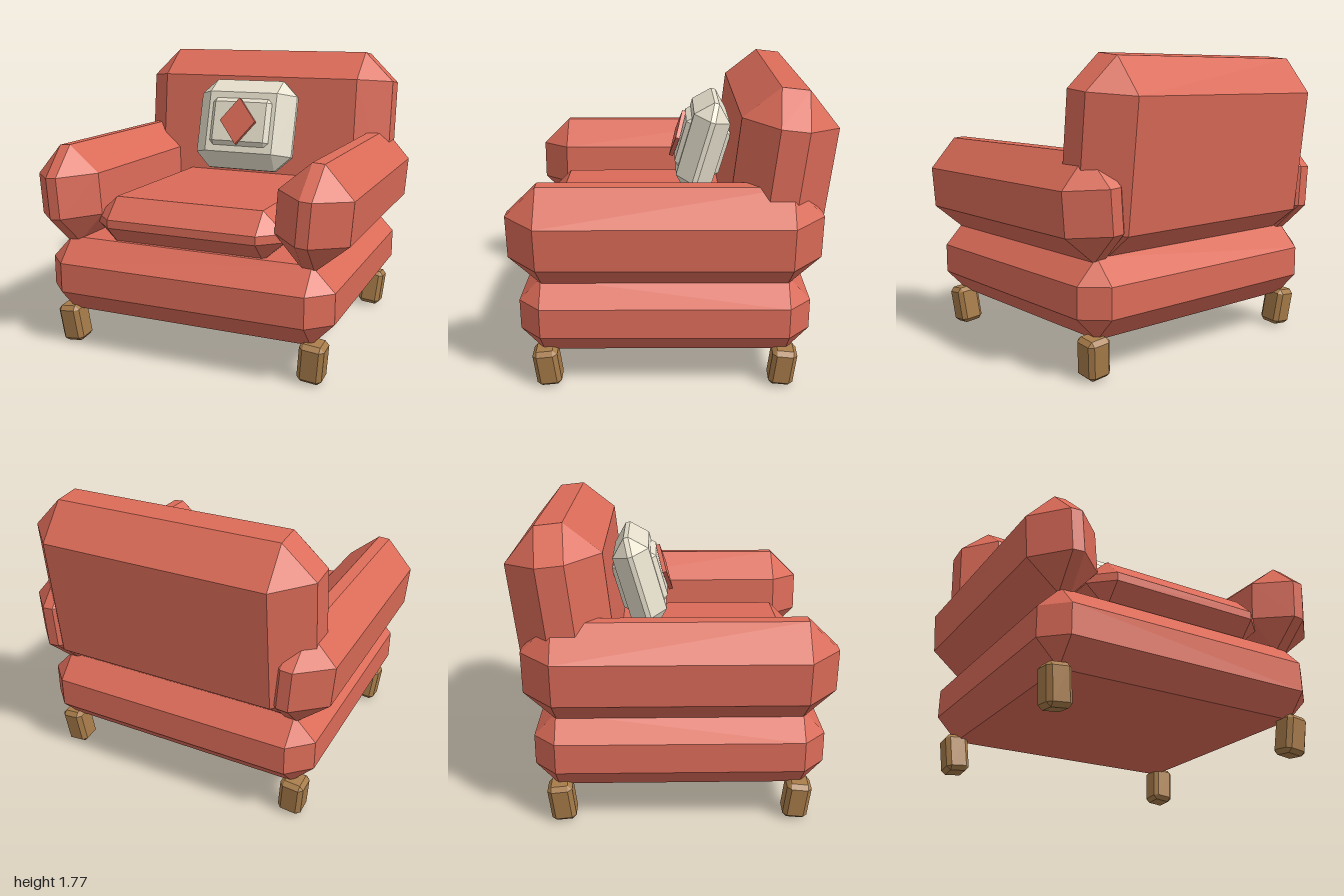
import * as THREE from 'three';
import { ConvexGeometry } from 'three/addons/geometries/ConvexGeometry.js';

const material = (color) => new THREE.MeshStandardMaterial({ color, flatShading: true });

// Box with bevelled edges and corners: half sizes [x, y, z], bevels [x, y, z]
function bevelBox(half, bevel) {
  const points = [];
  for (const sx of [-1, 1]) for (const sy of [-1, 1]) for (const sz of [-1, 1]) {
    for (let axis = 0; axis < 3; axis++) {
      const p = half.map((h, i) => (i === axis ? h : h - bevel[i]));
      points.push(new THREE.Vector3(p[0] * sx, p[1] * sy, p[2] * sz));
    }
  }
  return new ConvexGeometry(points);
}

export function createModel() {
  const model = new THREE.Group();
  model.name = 'armchair';
  const red = material(0xdb6b58);
  const cream = material(0xe6dfcc);
  const wood = material(0xa87c4a);

  function add(parent, name, geometry, mat, position, rotation = [0, 0, 0]) {
    const mesh = new THREE.Mesh(geometry, mat);
    mesh.name = name;
    mesh.position.set(...position);
    mesh.rotation.set(...rotation);
    parent.add(mesh);
    return mesh;
  }

  // Base and seat
  add(model, 'base', bevelBox([0.91, 0.23, 0.845], [0.135, 0.14, 0.13]), red, [0, 0.45, 0.04]);
  add(model, 'seatCushion', bevelBox([0.6, 0.145, 0.71], [0.13, 0.12, 0.12]), red, [0, 0.805, 0.12]);

  // Reclined backrest
  add(model, 'backrest', bevelBox([0.89, 0.56, 0.272], [0.195, 0.19, 0.193]), red,
    [0, 1.205, -0.615], [-0.11, 0, 0]);

  // Arms leaning outward, and splayed feet
  const armGeometry = bevelBox([0.215, 0.3, 0.89], [0.18, 0.175, 0.18]);
  const legGeometry = bevelBox([0.073, 0.118, 0.073], [0.025, 0.025, 0.025]);
  for (const side of [1, -1]) {
    const label = side > 0 ? 'left' : 'right';
    add(model, label + 'Arm', armGeometry, red, [0.776 * side, 0.949, 0.04], [0, 0, -0.075 * side]);
    add(model, label + 'FrontLeg', legGeometry, wood, [0.785 * side, 0.125, 0.737], [0.1, 0, -0.1 * side]);
    add(model, label + 'BackLeg', legGeometry, wood, [0.785 * side, 0.125, -0.657], [-0.1, 0, -0.1 * side]);
  }

  // Throw pillow leaning on the backrest
  const pillow = new THREE.Group();
  pillow.name = 'pillow';
  pillow.position.set(0, 1.293, -0.193);
  pillow.rotation.x = -0.28;
  model.add(pillow);
  add(pillow, 'pillowBody', bevelBox([0.34, 0.3, 0.115], [0.105, 0.1, 0.1]), cream, [0, 0, 0]);
  add(pillow, 'pillowPanel', bevelBox([0.21, 0.16, 0.143], [0.03, 0.03, 0.03]), cream, [0, 0, 0]);

  // Diamond patch on the pillow
  const diamond = new THREE.CylinderGeometry(1, 1, 0.026, 4).rotateX(Math.PI / 2).scale(0.123, 0.153, 1);
  add(pillow, 'diamondPatch', diamond, red, [0, 0, 0.16]);

  return model;
}
